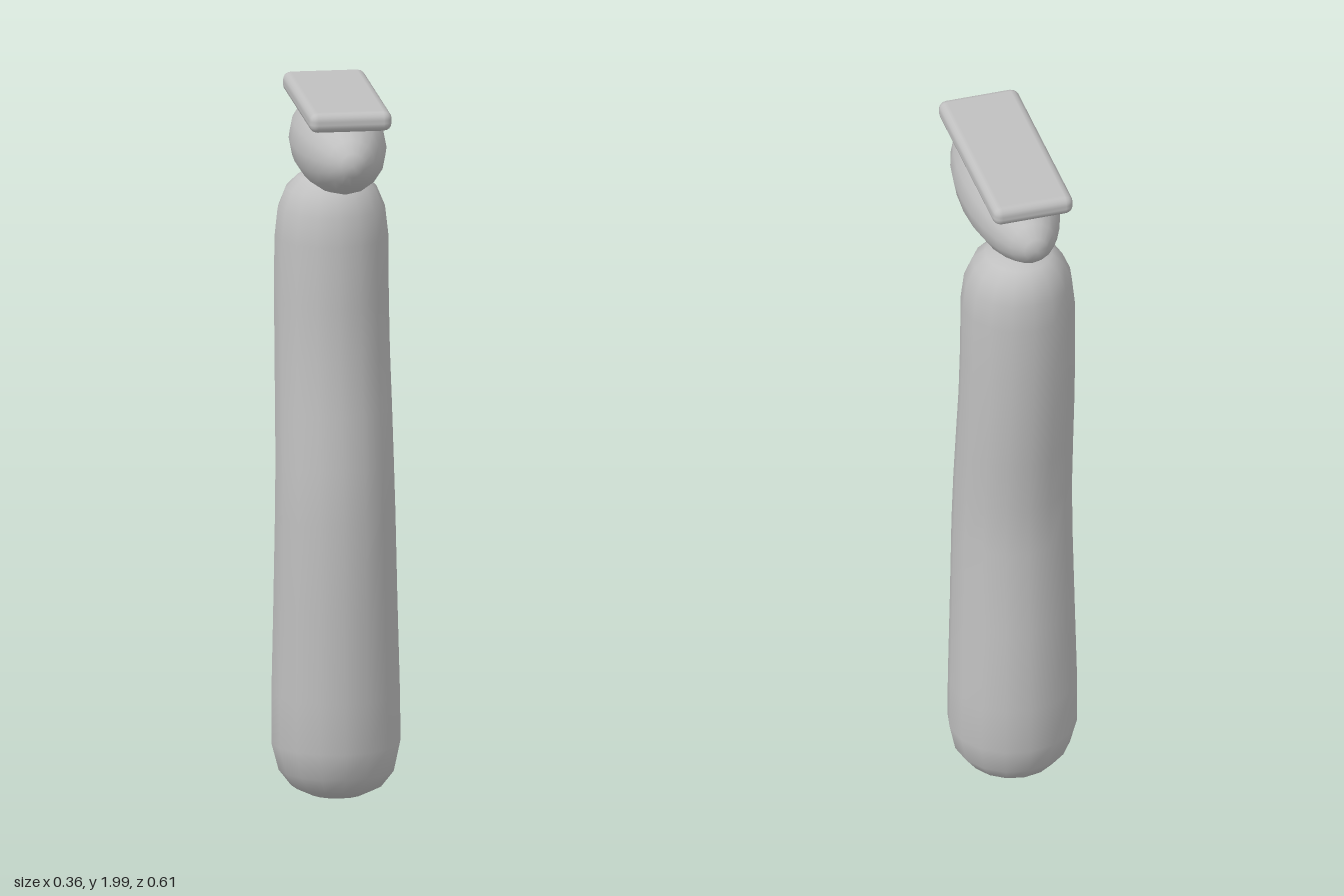
import * as THREE from 'three';
import { RoundedBoxGeometry } from 'three/addons/geometries/RoundedBoxGeometry.js';

const SIDES = 16;

// Post cross-sections, bottom to top: y, centre x, centre z, radius x, radius z
const SECTIONS = [
  [0.008, 0, -0.1, 0, 0],
  [0.016, 0, -0.1, 0.075, 0.075],
  [0.04, 0, -0.1, 0.125, 0.125],
  [0.085, 0, -0.1, 0.16, 0.16],
  [0.16, -0.002, -0.1, 0.178, 0.176],
  [0.3, -0.003, -0.1, 0.177, 0.177],
  [0.55, -0.005, -0.091, 0.171, 0.171],
  [0.8, -0.007, -0.081, 0.166, 0.163],
  [0.95, -0.008, -0.085, 0.163, 0.16],
  [1.1, -0.009, -0.099, 0.161, 0.158],
  [1.25, -0.011, -0.111, 0.159, 0.157],
  [1.4, -0.012, -0.118, 0.158, 0.156],
  [1.57, -0.012, -0.12, 0.157, 0.155],
  [1.65, -0.012, -0.122, 0.148, 0.148],
  [1.705, -0.012, -0.125, 0.125, 0.128],
  [1.737, -0.012, -0.128, 0.092, 0.095],
  [1.752, -0.012, -0.13, 0.048, 0.05],
  [1.756, -0.012, -0.132, 0, 0],
];

// Skins rings of equal size into one smooth closed surface
function loft(sections) {
  const positions = [];
  const index = [];
  sections.forEach(([y, cx, cz, rx, rz], row) => {
    for (let i = 0; i < SIDES; i++) {
      const a = (i / SIDES) * Math.PI * 2;
      positions.push(cx + rx * Math.sin(a), y, cz + rz * Math.cos(a));
      if (row === sections.length - 1) continue;
      const p = row * SIDES + i;
      const q = row * SIDES + ((i + 1) % SIDES);
      if (rx > 0) index.push(p, q, q + SIDES);
      if (sections[row + 1][3] > 0 ) index.push(p, q + SIDES, p + SIDES);
      else index.push(p, q, p + SIDES);
    }
  });
  const geometry = new THREE.BufferGeometry();
  geometry.setAttribute('position', new THREE.Float32BufferAttribute(positions, 3));
  geometry.setIndex(index);
  geometry.computeVertexNormals();
  return geometry;
}

export function createModel() {
  const model = new THREE.Group();
  const grey = new THREE.MeshStandardMaterial({ color: 0xc0c0c0 });
  grey.name = 'grey';

  const add = (name, geometry, x, y, z) => {
    const mesh = new THREE.Mesh(geometry, grey);
    mesh.name = name;
    mesh.position.set(x, y, z);
    model.add(mesh);
    return mesh;
  };

  // Gently bent, rounded post
  add('post', loft(SECTIONS), 0, 0, 0);

  // Long oval cushion under the plate, poles at front and back
  const cushion = new THREE.SphereGeometry(1, 16, 12);
  cushion.rotateX(Math.PI / 2);
  cushion.scale(0.128, 0.13, 0.303);
  add('cushion', cushion, -0.012, 1.858, 0);

  // Flat top plate with rounded edges
  add('topPlate', new RoundedBoxGeometry(0.228, 0.057, 0.552, 2, 0.024), -0.012, 1.9715, -0.006);

  return model;
}
